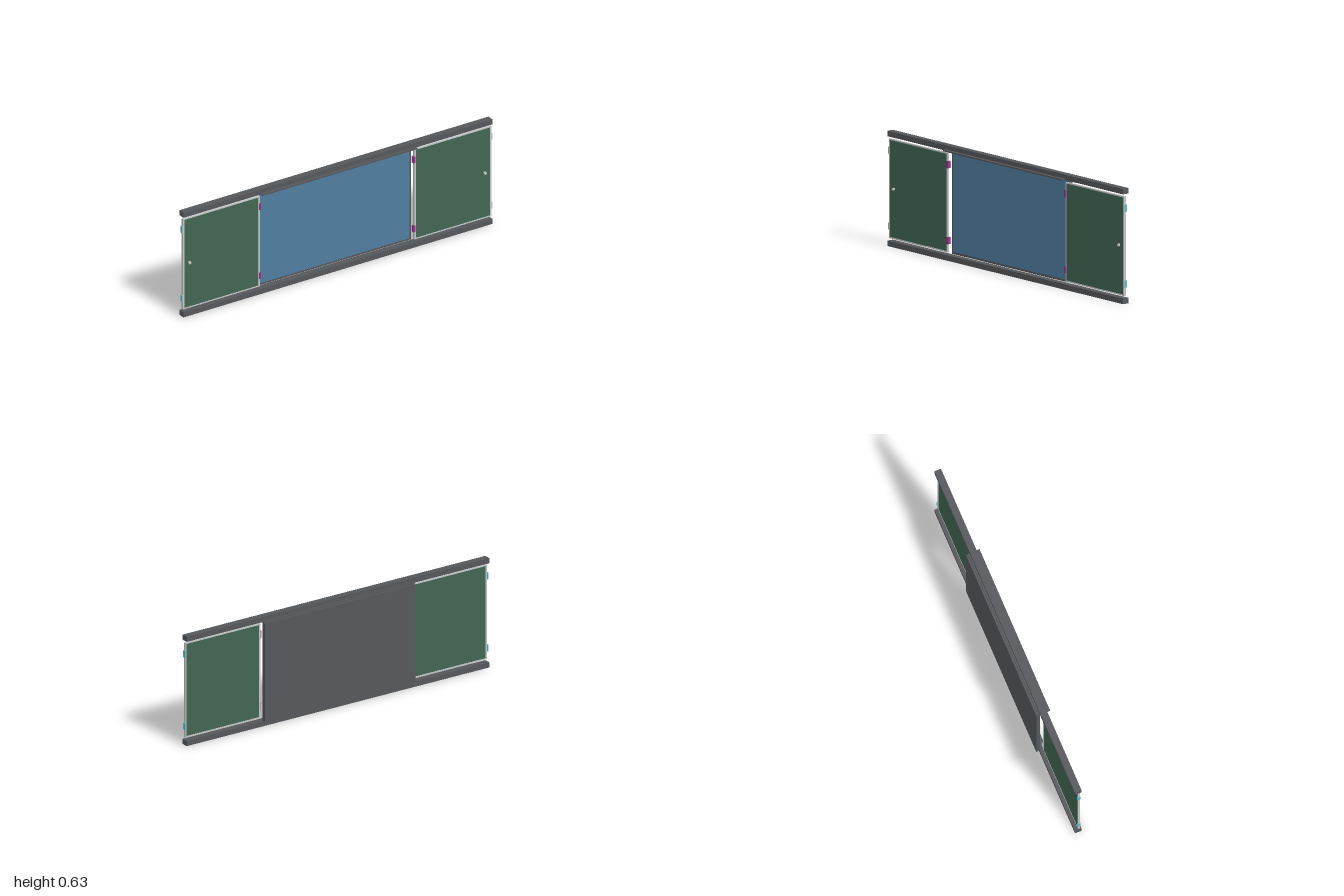
import * as THREE from 'three';

const mat = (name, color, opts = {}) => {
  const m = new THREE.MeshStandardMaterial({ color, ...opts });
  m.name = name;
  return m;
};

export function createModel() {
  const dark = mat('dark grey', 0x55585b);
  const blue = mat('board blue', 0x4f7d9f);
  const green = mat('board green', 0x426653);
  const silver = mat('silver', 0xc4c8c8);
  const cyan = mat('cyan', 0x55c0d0);
  const magenta = mat('magenta', 0xa0308f);

  const model = new THREE.Group();
  model.name = 'slidingBoard';

  // Box given by its lower and upper limits on each axis
  const box = (parent, name, material, x0, x1, y0, y1, z0, z1) => {
    const mesh = new THREE.Mesh(new THREE.BoxGeometry(x1 - x0, y1 - y0, z1 - z0), material);
    mesh.position.set((x0 + x1) / 2, (y0 + y1) / 2, (z0 + z1) / 2);
    mesh.name = name;
    parent.add(mesh);
    return mesh;
  };

  // Long rails above and below, with a wider flange over the centre
  box(model, 'bottomRail', dark, -0.997, 0.997, 0, 0.03, -0.019, 0.02);
  box(model, 'topRail', dark, -0.997, 0.997, 0.604, 0.634, -0.019, 0.02);
  box(model, 'topFlange', dark, -0.5, 0.5, 0.603, 0.611, -0.029, 0.04);

  // Fixed centre board with its blue face
  box(model, 'centreBack', dark, -0.497, 0.497, 0.033, 0.602, -0.039, -0.017);
  box(model, 'centreFace', blue, -0.484, 0.484, 0.045, 0.592, -0.0175, -0.0145);

  // Side doors, mirrored
  for (const side of [-1, 1]) {
    const door = new THREE.Group();
    door.name = side < 0 ? 'rightDoor' : 'leftDoor';
    model.add(door);
    const part = (name, m, a, b, ...rest) =>
      box(door, name, m, Math.min(side * a, side * b), Math.max(side * a, side * b), ...rest);

    // Slim frame around the green panel
    part('doorPanel', green, 0.508, 0.986, 0.05, 0.584, 0.0005, 0.01);
    part('frameInner', silver, 0.499, 0.508, 0.043, 0.591, -0.001, 0.0115);
    part('frameOuter', silver, 0.986, 0.995, 0.043, 0.591, -0.001, 0.0115);
    part('frameBottom', silver, 0.508, 0.986, 0.043, 0.05, -0.001, 0.0115);
    part('frameTop', silver, 0.508, 0.986, 0.584, 0.591, -0.001, 0.0115);

    // Edge clips: cyan on the outer edge, magenta on the inner edge
    for (const y of [0.089, 0.507]) {
      part('outerClip', cyan, 0.993, 1, y, y + 0.039, -0.006, 0.01);
      part('outerClipPlate', silver, 0.993, 1, y, y + 0.039, 0.01, 0.0135);
      part('innerClip', magenta, 0.491, 0.503, y, y + 0.039, -0.0025, 0.0135);
      part('innerClipPlate', silver, 0.491, 0.503, y, y + 0.039, -0.006, -0.0025);
    }

    // Round pull knob
    const knob = new THREE.Mesh(new THREE.CylinderGeometry(0.008, 0.008, 0.012, 24), silver);
    knob.rotation.x = Math.PI / 2;
    knob.position.set(side * 0.953, 0.318, 0.014);
    knob.name = 'knob';
    door.add(knob);
  }
  return model;
}
